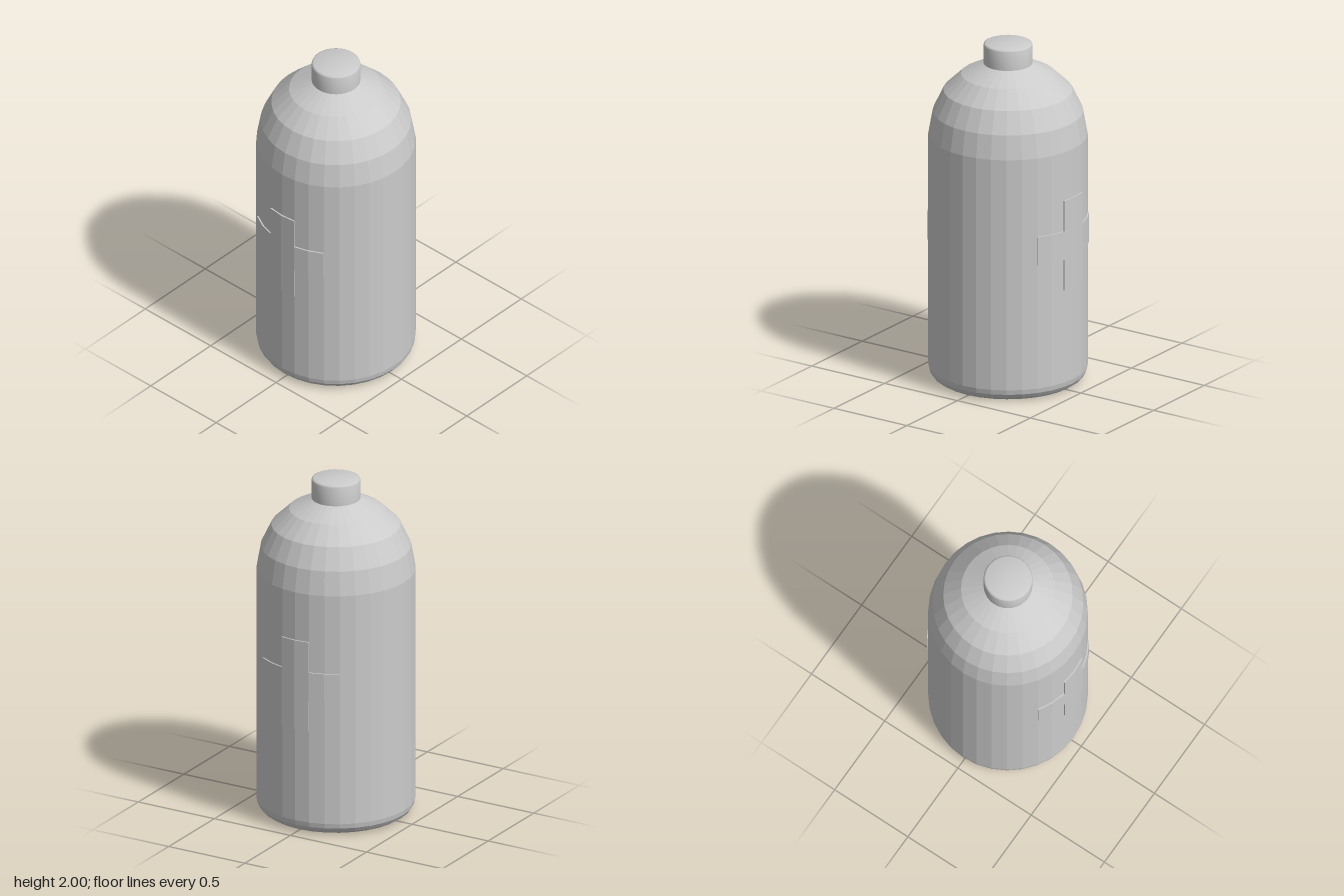
import * as THREE from 'three';
import { toCreasedNormals } from 'three/addons/utils/BufferGeometryUtils.js';

const SIDES = 32;
const STEP = (Math.PI * 2) / SIDES;
const RADIUS = 0.45;

function lathe(points) {
  return new THREE.LatheGeometry(points.map(([r, y]) => new THREE.Vector2(r, y)), SIDES);
}

// Slab wrapped round the body: spans +-halfSteps facets, from y0 to y1
function wrappedSlab(halfSteps, y0, y1, material) {
  const geometry = new THREE.BoxGeometry(halfSteps * 2, y1 - y0, 1, halfSteps * 2, 1, 1);
  const p = geometry.attributes.position;
  for (let i = 0; i < p.count; i++) {
    const angle = p.getX(i) * STEP;
    const r = p.getZ(i) > 0 ? RADIUS + 0.008 : RADIUS - 0.01;
    p.setXYZ(i, Math.sin(angle) * r, p.getY(i) + (y0 + y1) / 2, Math.cos(angle) * r);
  }
  geometry.computeVertexNormals();
  return new THREE.Mesh(geometry, material);
}

export function createModel() {
  const group = new THREE.Group();
  const flat = new THREE.MeshStandardMaterial({ color: 0xcccccc, flatShading: true });
  const smooth = new THREE.MeshStandardMaterial({ color: 0xcccccc });

  // Bottle body: rounded foot, straight wall, faceted shoulder
  const profile = [[0, 0]];
  for (let i = 0; i <= 4; i++) {
    const a = (i / 4) * Math.PI / 2;
    profile.push([RADIUS - 0.075 + 0.075 * Math.sin(a), 0.075 - 0.075 * Math.cos(a)]);
  }
  profile.push([RADIUS, 1.455], [0.425, 1.595], [0.365, 1.72], [0.265, 1.815], [0.135, 1.88], [0, 1.88]);
  const body = new THREE.Mesh(lathe(profile), flat);
  body.name = 'body';
  group.add(body);

  // Cap with a softly rounded rim
  const capProfile = [[0.138, 1.87], [0.138, 1.988], [0.1345, 1.9965], [0.126, 2], [0, 2]];
  const cap = new THREE.Mesh(toCreasedNormals(lathe(capProfile), 0.9), smooth);
  cap.name = 'cap';
  group.add(cap);

  // Raised cross on the front and on the back
  for (const [name, turn] of [['frontCross', 0], ['backCross', Math.PI]]) {
    const cross = new THREE.Group();
    cross.name = name;
    const parts = { crossArms: [3, 0.815, 0.985], crossTop: [1, 0.985, 1.168], crossBottom: [1, 0.63, 0.815] };
    for (const [partName, [steps, y0, y1]] of Object.entries(parts)) {
      const part = wrappedSlab(steps, y0, y1, flat);
      part.name = partName;
      cross.add(part);
    }
    cross.rotation.y = turn;
    group.add(cross);
  }
  return group;
}
